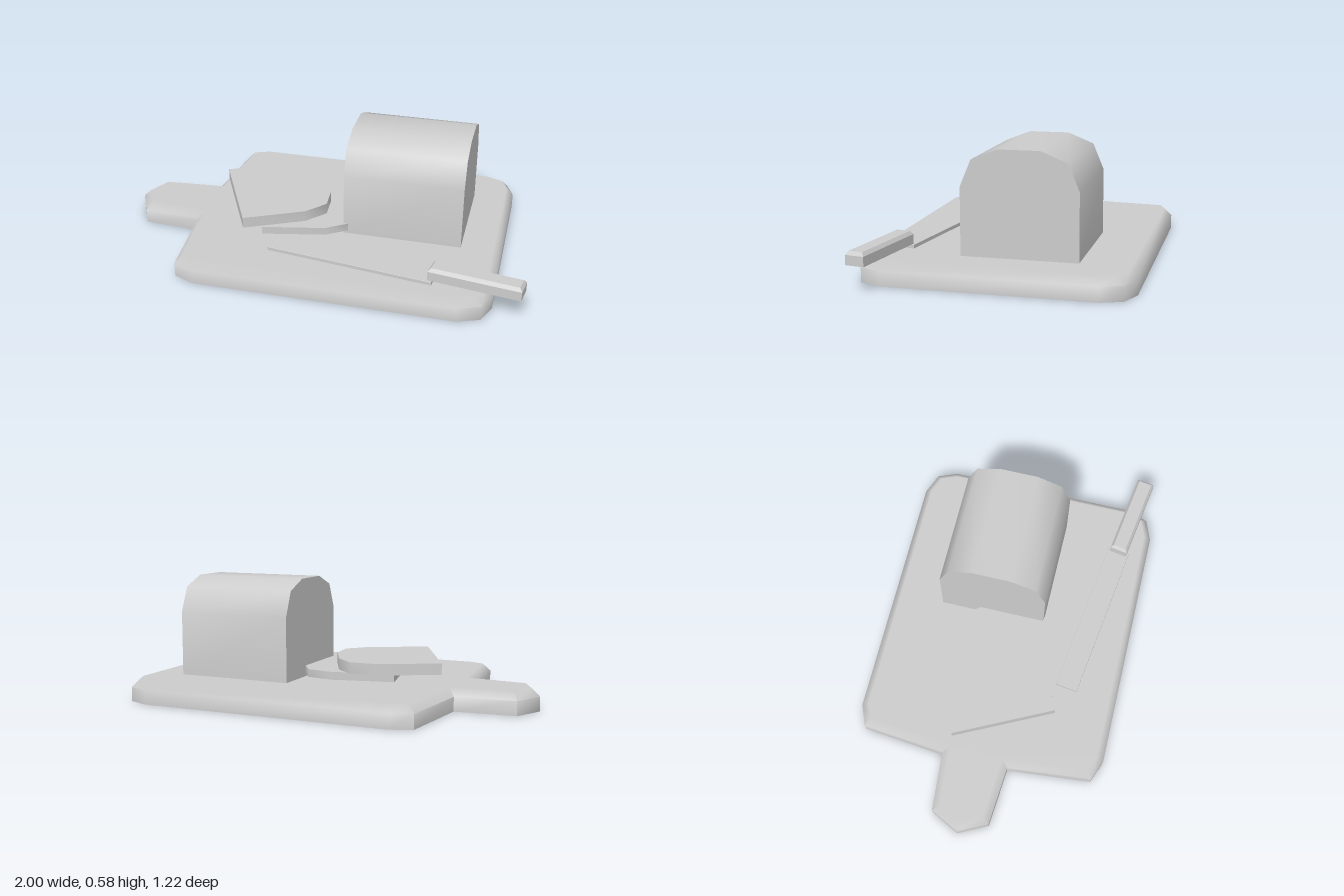
import * as THREE from 'three';
import { toCreasedNormals } from 'three/addons/utils/BufferGeometryUtils.js';

const CREASE = 1.0;

// Moves a counterclockwise outline of [x, -z] points inward by d, with mitred corners.
function inset(points, d) {
  const n = points.length;
  return points.map((p, i) => {
    const a = points[(i + n - 1) % n], b = points[(i + 1) % n];
    const n1 = new THREE.Vector2(a[1] - p[1], p[0] - a[0]).normalize();
    const n2 = new THREE.Vector2(p[1] - b[1], b[0] - p[0]).normalize();
    const k = d / (1 + n1.dot(n2));
    return [p[0] + (n1.x + n2.x) * k, p[1] + (n1.y + n2.y) * k];
  });
}

// Flat slab standing on y0, with its top edge chamfered.
function slab(outline, y0, y1, drop, width, soft) {
  const n = outline.length;
  const rings = [[outline, y0], [outline, y1 - drop], [inset(outline, width), y1]];
  const pos = [], index = [];
  for (const [ring, y] of rings) for (const [x, s] of ring) pos.push(x, y, -s);
  for (let r = 0; r < 2; r++) {
    for (let i = 0; i < n; i++) {
      const j = (i + 1) % n, a = r * n + i, b = r * n + j;
      index.push(a, b, b + n, a, b + n, a + n);
    }
  }
  const flat = outline.map(([x, s]) => new THREE.Vector2(x, s));
  for (const [a, b, c] of THREE.ShapeUtils.triangulateShape(flat, [])) {
    index.push(c, b, a, a + 2 * n, b + 2 * n, c + 2 * n);
  }
  let geo = new THREE.BufferGeometry();
  geo.setAttribute('position', new THREE.Float32BufferAttribute(pos, 3));
  geo.setIndex(index);
  geo = toCreasedNormals(geo, soft ? CREASE : 0.3);
  if (soft) { // keep the top flat while the chamfer rolls into it
    const p = geo.attributes.position;
    for (let i = 0; i < p.count; i++) {
      if (p.getY(i) > y1 - 1e-4) geo.attributes.normal.setXYZ(i, 0, 1, 0);
    }
  }
  return geo;
}

// Bread cross-section, extruded to the given depth.
function bread(depth, scale) {
  const half = [[0.262, 0], [0.262, 0.307], [0.212, 0.427], [0.093, 0.475]];
  const all = [...half, ...half.map(([x, y]) => [-x, y]).reverse()];
  const shape = new THREE.Shape(all.map(([x, y]) => new THREE.Vector2(x * scale, y * scale)));
  const geo = new THREE.ExtrudeGeometry(shape, { depth, bevelEnabled: false });
  return toCreasedNormals(geo, CREASE);
}

export function createModel() {
  const group = new THREE.Group();
  const grey = new THREE.MeshStandardMaterial({ color: 0xcccccc });
  grey.name = 'light grey';
  const add = (name, geo) => {
    const mesh = new THREE.Mesh(geo, grey);
    mesh.name = name;
    group.add(mesh);
    return mesh;
  };

  // Cutting board with a stubby handle, mirrored front to back
  const side = [[-0.93, -0.14], [-0.645, -0.163], [-0.605, -0.572], [-0.505, -0.612],
    [0.715, -0.612], [0.818, -0.572], [0.857, -0.475]];
  const board = [[-1, 0], ...side, ...side.map(([x, s]) => [x, -s]).reverse()];
  add('cuttingBoard', slab(board, 0, 0.105, 0.037, 0.036, true));

  // Loaf lying along x
  const loaf = add('loaf', bread(0.565, 1));
  loaf.rotation.y = Math.PI / 2;
  loaf.position.set(0.105, 0.103, -0.0925);

  // Two slices lying flat, overlapping
  const slices = [
    ['lowerSlice', -0.317, 0.12, 0.05, 0.037, -78],
    ['upperSlice', -0.461, 0.157, 0.1, 0.053, -63.6],
  ];
  for (const [name, x, y, z, thick, angle] of slices) {
    const slice = add(name, bread(thick, 0.975).rotateX(-Math.PI / 2));
    slice.rotation.y = THREE.MathUtils.degToRad(angle);
    slice.position.set(x, y, z);
  }

  // Knife: thin blade and chamfered handle
  const blade = [[-0.203, -0.41], [0.585, -0.518], [0.6, -0.41], [-0.19, -0.302]];
  add('knifeBlade', slab(blade, 0.104, 0.122, 0.001, 0.001, false));
  const handle = [[0.565, -0.505], [0.983, -0.567], [0.997, -0.48], [0.58, -0.418]];
  add('knifeHandle', slab(handle, 0.122, 0.182, 0.016, 0.012, false));

  return group;
}
